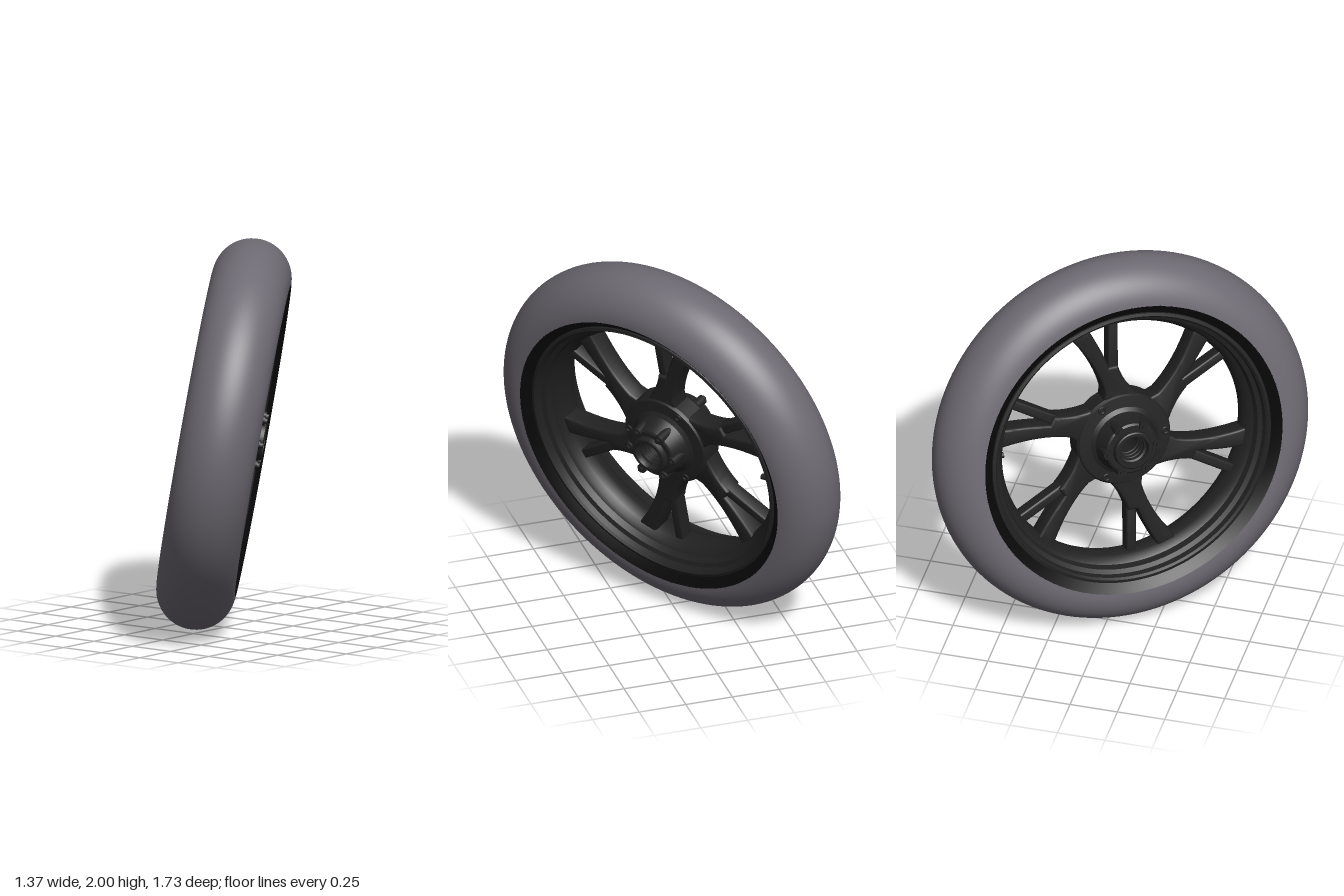
import * as THREE from 'three';
import { toCreasedNormals } from 'three/addons/utils/BufferGeometryUtils.js';

const rubber = new THREE.MeshStandardMaterial({ color: 0x6e6a73 });
const sidewallMat = new THREE.MeshStandardMaterial({ color: 0x090909 });
const metal = new THREE.MeshStandardMaterial({ color: 0x212121 });

function add(parent, name, geometry, material) {
  const mesh = new THREE.Mesh(geometry, material);
  mesh.name = name;
  parent.add(mesh);
  return mesh;
}

// Revolve [radius, depth] points about the wheel axis (local z)
function revolve(points, segments = 96, crease = 0.6) {
  const g = new THREE.LatheGeometry(points.map(([r, d]) => new THREE.Vector2(r, d)), segments);
  g.rotateX(Math.PI / 2);
  // the quarter turn keeps depth on +z and the winding intact
  return toCreasedNormals(g, crease);
}

const mirrored = (half) => half.map(([r, d]) => [r, -d]).reverse();

// Flat plate with softened edges, centred on the wheel's mid plane
function plate(shape, depth, bevel) {
  const g = new THREE.ExtrudeGeometry(shape, {
    depth: depth - 2 * bevel, bevelEnabled: true, bevelThickness: bevel,
    bevelSize: bevel, bevelOffset: -bevel, bevelSegments: 3, curveSegments: 10,
  });
  g.translate(0, 0, -(depth - 2 * bevel) / 2);
  return toCreasedNormals(g, 0.6);
}

function rod(radius, length, x, y, z, segments = 20) {
  return new THREE.CylinderGeometry(radius, radius, length, segments)
    .rotateX(Math.PI / 2).translate(x, y, z);
}

function createTyre(wheel) {
  const arc = [];
  for (let i = 0; i <= 32; i++) {
    const t = -Math.PI / 2 + (Math.PI * i) / 32;
    arc.push([0.81 + 0.202 * Math.cos(t), 0.202 * Math.sin(t)]);
  }
  add(wheel, 'tyreTread', revolve(arc, 128, 1), rubber);
  const wall = [[0.812, 0.202], [0.79, 0.188], [0.75, 0.155]];
  add(wheel, 'frontSidewall', revolve(wall, 128), sidewallMat);
  add(wheel, 'backSidewall', revolve(mirrored(wall), 128), sidewallMat);
}

function createRim(wheel) {
  // Stepped barrel from the lip down to the well, mirrored front to back
  const half = [[0.762, 0.15], [0.758, 0.172], [0.742, 0.176], [0.732, 0.165], [0.726, 0.135],
    [0.704, 0.125], [0.694, 0.09], [0.675, 0.075], [0.66, 0.045], [0.652, 0.02]];
  const loop = [...half, ...mirrored(half), half[0]];
  add(wheel, 'rim', revolve(loop, 128, 0.5), metal);

  // Valve stem on the well
  const valve = add(wheel, 'valve', new THREE.CylinderGeometry(0.012, 0.016, 0.07, 14), metal);
  valve.rotation.z = Math.PI / 2;
  valve.position.set(-0.65, 0, -0.06);
}

function createSpokes(wheel) {
  // Broad swept blade
  const blade = new THREE.Shape();
  blade.moveTo(-0.1, 0.18);
  blade.lineTo(-0.082, 0.28);
  blade.quadraticCurveTo(-0.11, 0.44, -0.25, 0.63);
  blade.lineTo(-0.15, 0.66);
  blade.quadraticCurveTo(-0.085, 0.53, -0.05, 0.42);
  blade.lineTo(-0.002, 0.42);
  blade.quadraticCurveTo(0.025, 0.3, 0.13, 0.19);
  blade.closePath();
  // Slim strut branching off the blade
  const strut = new THREE.Shape();
  strut.moveTo(-0.05, 0.38);
  strut.lineTo(0.003, 0.38);
  strut.lineTo(0.018, 0.668);
  strut.lineTo(-0.034, 0.668);
  strut.closePath();

  const bladeGeometry = plate(blade, 0.11, 0.014);
  const strutGeometry = plate(strut, 0.075, 0.01);
  for (let i = 0; i < 6; i++) {
    const spoke = new THREE.Group();
    spoke.name = 'spoke' + (i + 1);
    spoke.rotation.z = (i * Math.PI) / 3;
    add(spoke, 'spokeBlade', bladeGeometry, metal);
    add(spoke, 'spokeStrut', strutGeometry, metal);
    wheel.add(spoke);
  }
}

function createHub(wheel) {
  // Flange, tapering drum, end collar and open bore, same on both sides
  const half = [[0.255, 0.05], [0.245, 0.065], [0.185, 0.07], [0.165, 0.085], [0.148, 0.14],
    [0.14, 0.175], [0.13, 0.182], [0.105, 0.182], [0.102, 0.205], [0.096, 0.21],
    [0.08, 0.21], [0.076, 0.2], [0.076, 0.18], [0.066, 0.175]];
  const loop = [...half, ...mirrored(half), half[0]];
  add(wheel, 'hub', revolve(loop, 64, 0.5), metal);

  for (const side of [1, -1]) {
    const name = side > 0 ? 'front' : 'back';
    // Six bolt bosses round the drum end
    for (let i = 0; i < 6; i++) {
      const a = (i * Math.PI) / 3;
      const x = 0.135 * Math.cos(a), y = 0.135 * Math.sin(a);
      add(wheel, name + 'BoltBoss', rod(0.025, 0.11, x, y, side * 0.14), metal);
      add(wheel, name + 'Bolt', rod(0.014, 0.016, x, y, side * 0.2, 6), metal);
    }
    // Three raised rings on the flange
    for (let i = 0; i < 3; i++) {
      const a = (i * 2 * Math.PI) / 3;
      const ring = new THREE.TorusGeometry(0.016, 0.006, 8, 20);
      ring.translate(0.222 * Math.cos(a), 0.222 * Math.sin(a), side * 0.068);
      add(wheel, name + 'FlangeRing', ring, metal);
    }
    // Grooves inside the bore
    for (let i = 0; i < 3; i++) {
      const ring = new THREE.TorusGeometry(0.066, 0.006, 8, 40);
      add(wheel, name + 'BoreRing', ring.translate(0, 0, side * (0.09 + i * 0.03)), metal);
    }
  }
}

export function createModel() {
  const model = new THREE.Group();
  model.name = 'wheelModel';
  const wheel = new THREE.Group();
  wheel.name = 'wheel';
  createTyre(wheel);
  createRim(wheel);
  createSpokes(wheel);
  createHub(wheel);

  // Turn and lean the wheel so its axle follows the given direction
  const axle = new THREE.Vector3(-0.8, 0.17, 0.574).normalize();
  const across = new THREE.Vector3(0, 1, 0).cross(axle).normalize();
  const up = axle.clone().cross(across);
  wheel.quaternion.setFromRotationMatrix(new THREE.Matrix4().makeBasis(across, up, axle));
  wheel.position.y = 1;
  model.add(wheel);
  return model;
}
